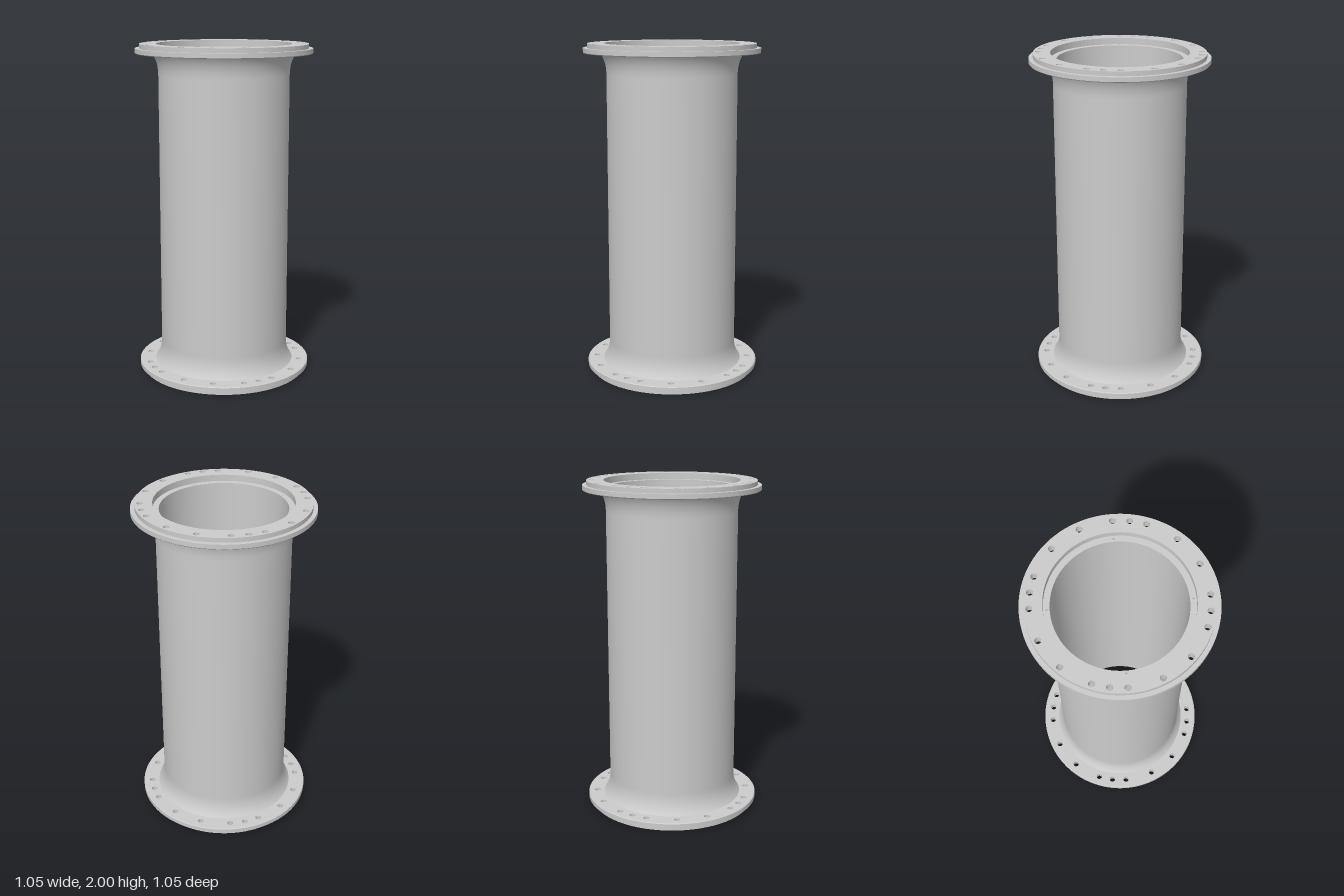
import * as THREE from 'three';
import { mergeGeometries, toCreasedNormals } from 'three/addons/utils/BufferGeometryUtils.js';

const SEG = 128, HALF = 1;
const BORE = 0.365, RECESS = 0.4, FACE = 0.5, RIM = 0.525, PIPE = 0.389, NECK = 0.426;
const Y_STEP = 0.974, Y_UNDER = 0.944, Y_LEDGE = 0.962; // heights above the middle
const BOLT_R = 0.018, PIN_R = 0.007;

const steel = new THREE.MeshStandardMaterial({ color: 0xcccccc });
const holeSteel = new THREE.MeshStandardMaterial({ color: 0xcccccc, side: THREE.DoubleSide });

function mesh(name, geometry, material = steel) {
  const m = new THREE.Mesh(geometry, material);
  m.name = name;
  return m;
}

function circle(cx, cy, r, n) {
  return Array.from({ length: n }, (_, i) => {
    const a = (i / n) * Math.PI * 2;
    return new THREE.Vector2(cx + r * Math.cos(a), cy + r * Math.sin(a));
  });
}

// Turned surface; points run upward on outside walls, downward on inside walls
function turned(points) {
  const profile = points.map(([r, y]) => new THREE.Vector2(r, y));
  return toCreasedNormals(new THREE.LatheGeometry(profile, SEG), 0.5);
}

// Flat ring pierced by small holes, facing up or down
function ring(outer, inner, y, up, holes, holeR) {
  const s = up ? -1 : 1;
  const shape = new THREE.Shape(circle(0, 0, outer, SEG));
  shape.holes.push(new THREE.Path(circle(0, 0, inner, SEG)));
  for (const [x, z] of holes) shape.holes.push(new THREE.Path(circle(x, s * z, holeR, 20)));
  return new THREE.ShapeGeometry(shape).rotateX(s * Math.PI / 2).translate(0, y, 0);
}

// Walls of the small holes between two heights
function holeWalls(holes, r, top, bottom) {
  return mergeGeometries(holes.map(([x, z]) =>
    new THREE.CylinderGeometry(r, r, top - bottom, 20, 1, true).translate(x, (top + bottom) / 2, z)));
}

// One flanged end; turn = -1 mirrors the bolt pattern for the end that is flipped over
function flange(name, turn) {
  const g = new THREE.Group();
  g.name = name;
  const at = (r, deg) => {
    const a = turn * THREE.MathUtils.degToRad(deg);
    return [r * Math.cos(a), r * Math.sin(a)];
  };
  // 16 evenly spaced bolts, plus one extra per quarter
  const bolts = [];
  for (let i = 0; i < 16; i++) bolts.push(at(0.47, i * 22.5));
  for (let i = 0; i < 4; i++) bolts.push(at(0.47, i * 90 + 11.25));
  const pins = [0, 90, 180, 270].map((d) => at(0.381, d));

  g.add(mesh('sealingFace', ring(FACE, RECESS, HALF, true, bolts, BOLT_R)));
  g.add(mesh('flangeUnderside', ring(RIM - 0.004, NECK, Y_UNDER, false, bolts, BOLT_R)));
  g.add(mesh('flangeRim', turned([
    [RIM - 0.004, Y_UNDER], [RIM, Y_UNDER + 0.004], [RIM, Y_STEP], [FACE, Y_STEP], [FACE, HALF],
  ])));
  g.add(mesh('recessWall', turned([[RECESS, HALF], [RECESS, Y_LEDGE]])));
  g.add(mesh('recessLedge', ring(RECESS, BORE, Y_LEDGE, true, pins, PIN_R)));
  g.add(mesh('boltHoles', holeWalls(bolts, BOLT_R, HALF, Y_UNDER), holeSteel));

  // Blind pin holes in the ledge
  const depth = Y_LEDGE - 0.02;
  g.add(mesh('pinHoles', holeWalls(pins, PIN_R, Y_LEDGE, depth), holeSteel));
  g.add(mesh('pinHoleFloors', mergeGeometries(pins.map(([x, z]) =>
    new THREE.CircleGeometry(PIN_R, 20).rotateX(-Math.PI / 2).translate(x, depth, z)))));

  // Neck flares from the pipe out to the flange
  const flare = new THREE.QuadraticBezierCurve(
    new THREE.Vector2(PIPE, 0.82), new THREE.Vector2(PIPE, 0.895), new THREE.Vector2(NECK, Y_UNDER));
  g.add(mesh('neck', new THREE.LatheGeometry(flare.getPoints(14), SEG)));
  return g;
}

export function createModel() {
  const model = new THREE.Group();
  model.name = 'flangedPipe';
  const spool = new THREE.Group();
  spool.name = 'spool';
  spool.position.y = HALF;
  model.add(spool);

  // Straight pipe, outside and bore
  spool.add(mesh('pipeWall', turned([[PIPE, -0.82], [PIPE, 0.82]])));
  spool.add(mesh('pipeBore', turned([[BORE, Y_LEDGE], [BORE, -Y_LEDGE]])));

  // Matching flanges at both ends
  spool.add(flange('topFlange', 1));
  const bottom = flange('bottomFlange', -1);
  bottom.rotation.x = Math.PI;
  spool.add(bottom);
  return model;
}
